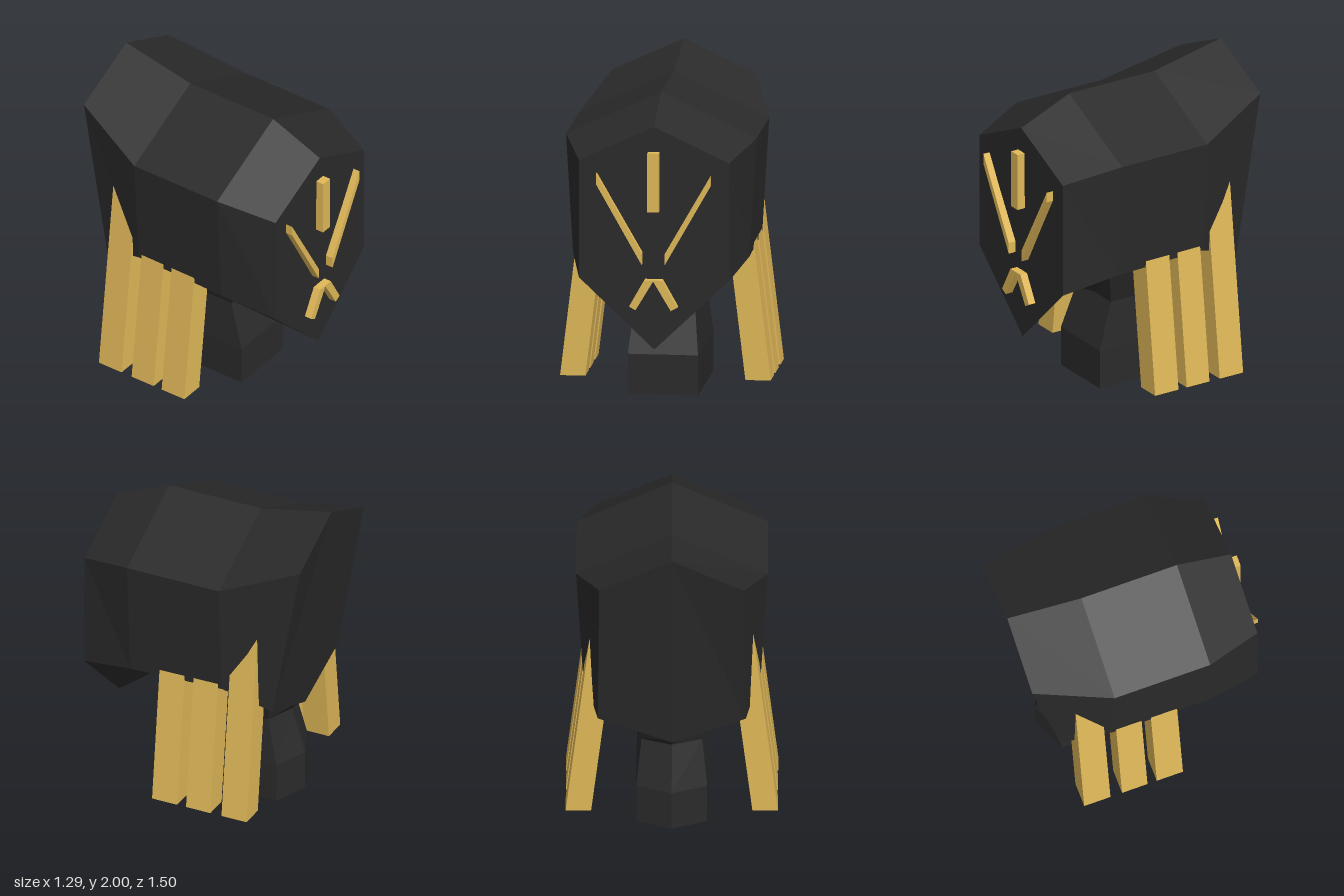
import * as THREE from 'three';

const dark = new THREE.MeshStandardMaterial({ color: 0x2a2a2a, flatShading: true });
const gold = new THREE.MeshStandardMaterial({ color: 0xe0b858, flatShading: true });

// Skin a list of equal-length rings (counter-clockwise seen from the first end) and cap both ends.
function loft(rings) {
  const n = rings[0].length, pos = [], index = [];
  rings.forEach(r => r.forEach(p => pos.push(...p)));
  for (let i = 0; i < rings.length - 1; i++) {
    for (let j = 0; j < n; j++) {
      const a = i * n + j, b = i * n + (j + 1) % n;
      index.push(a, a + n, b, b, a + n, b + n);
    }
  }
  const e = (rings.length - 1) * n;
  for (let j = 1; j < n - 1; j++) index.push(0, j, j + 1, e, e + j + 1, e + j);
  const g = new THREE.BufferGeometry();
  g.setAttribute('position', new THREE.Float32BufferAttribute(pos, 3));
  g.setIndex(index);
  const flat = g.toNonIndexed();
  flat.computeVertexNormals();
  return flat;
}

// Flat outline pushed out along z
function plate(points, z, depth) {
  const shape = new THREE.Shape(points.map(p => new THREE.Vector2(...p)));
  return new THREE.ExtrudeGeometry(shape, { depth, bevelEnabled: false }).translate(0, 0, z);
}

export function createModel() {
  const model = new THREE.Group();
  const add = (name, geometry, material) => {
    const mesh = new THREE.Mesh(geometry, material);
    mesh.name = name;
    model.add(mesh);
  };

  // Head: six-sided sections from front to back (top, upper side, lower side, bottom)
  const headRing = ([tx, ty, tz], [ux, uy, uz], [lx, ly, lz], [bx, by, bz]) => [
    [tx, ty, tz], [-ux, uy, uz], [-lx, ly, lz], [bx, by, bz], [lx, ly, lz], [ux, uy, uz]];
  add('head', loft([
    headRing([0, 1.755, 0.7], [0.46, 1.54, 0.7], [0.46, 0.81, 0.7], [0, 0.37, 0.69]),
    headRing([0, 1.9, 0.35], [0.583, 1.625, 0.35], [0.54, 0.89, 0.35], [0, 0.63, 0.35]),
    headRing([0, 1.9, -0.27], [0.583, 1.625, -0.27], [0.54, 0.91, -0.27], [0, 0.63, -0.27]),
    headRing([0, 2, -0.75], [0.44, 1.795, -0.75], [0.45, 0.78, -0.57], [0, 0.61, -0.57]),
  ]), dark);

  // Neck: flared at the top, with a pointed back
  const neckRing = (y, w, front, back, apex, yMid = y, mid = front) => [
    [0, yMid, mid], [w, y, front], [w, y, back], [0, yMid, apex], [-w, y, back], [-w, y, front]];
  add('neck', loft([
    neckRing(0.75, 0.25, 0.22, -0.45, -0.565, 0.63, 0.35),
    neckRing(0.54, 0.185, 0.17, -0.41, -0.48),
    neckRing(0.25, 0.215, 0.27, -0.48, -0.57),
    neckRing(0, 0.215, 0.27, -0.48, -0.57),
  ]), dark);

  // Slanted side bars, three per side, rising into the head
  for (const [z0, z1, top] of [[-0.02, 0.15, 1.15], [-0.245, -0.08, 1.15], [-0.49, -0.32, 1.42]]) {
    const lean = 0.12 * (top - 0.08);
    const bar = [[0.49, 0.08], [0.645, 0.08], [0.645 - lean, top], [0.49 - lean, top]];
    add('leftSideBar', plate(bar, z0, z1 - z0), gold);
    add('rightSideBar', plate(bar.map(([x, y]) => [-x, y]), z0, z1 - z0), gold);
  }

  // Face trim
  add('foreheadBar', plate([[-0.035, 1.235], [0.035, 1.235], [0.035, 1.6], [-0.035, 1.6]], 0.66, 0.09), gold);
  for (const s of [1, -1]) {
    const brow = [[0.07, 0.905], [0.35, 1.4], [0.35, 1.465], [0.07, 0.975]];
    add(s > 0 ? 'leftBrow' : 'rightBrow', plate(brow.map(([x, y]) => [s * x, y]), 0.66, 0.085), gold);
  }
  add('mouthChevron', plate([[-0.055, 0.81], [-0.148, 0.645], [-0.108, 0.622], [0, 0.803],
    [0.108, 0.622], [0.148, 0.645], [0.055, 0.81]], 0.65, 0.092), gold);

  return model;
}
